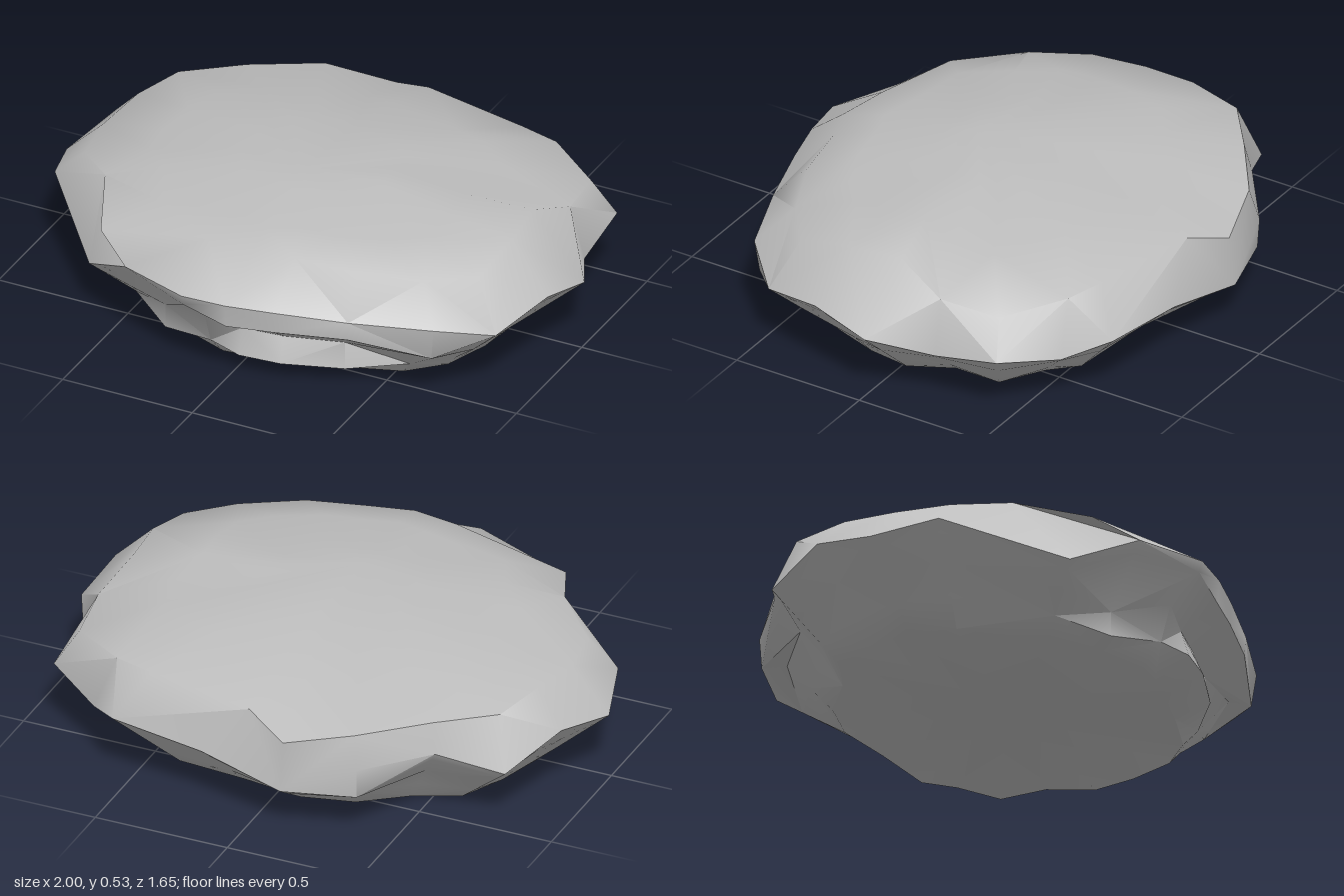
import * as THREE from 'three';
import { toCreasedNormals } from 'three/addons/utils/BufferGeometryUtils.js';

// Widest edge of the boulder, from the front round past +x: x, y, z
const belt = [
  [-0.13, 0.34, 0.825], [0.03, 0.335, 0.81], [0.2, 0.33, 0.77], [0.45, 0.32, 0.7],
  [0.73, 0.31, 0.6], [0.89, 0.25, 0.44], [0.97, 0.3, 0.2], [1, 0.25, -0.02],
  [0.89, 0.2, -0.24], [0.89, 0.25, -0.49], [0.68, 0.2, -0.62], [0.55, 0.25, -0.75],
  [0.2, 0.22, -0.78], [-0.12, 0.16, -0.825], [-0.38, 0.27, -0.76], [-0.6, 0.3, -0.59],
  [-0.82, 0.22, -0.49], [-0.93, 0.3, -0.26], [-1, 0.25, -0.02], [-0.93, 0.3, 0.21],
  [-0.62, 0.2, 0.56], [-0.4, 0.33, 0.72],
];

// Rim where the sides turn into the top
const shoulder = [
  [-0.13, 0.465, 0.62], [0.05, 0.45, 0.67], [0.2, 0.465, 0.61], [0.42, 0.45, 0.58],
  [0.64, 0.43, 0.49], [0.79, 0.42, 0.37], [0.81, 0.465, 0.16], [0.79, 0.475, -0.04],
  [0.84, 0.4, -0.23], [0.81, 0.38, -0.45], [0.6, 0.4, -0.6], [0.45, 0.4, -0.64],
  [0.04, 0.4, -0.73], [-0.12, 0.34, -0.8], [-0.36, 0.39, -0.73], [-0.58, 0.41, -0.57],
  [-0.77, 0.41, -0.42], [-0.82, 0.42, -0.21], [-0.85, 0.4, 0], [-0.82, 0.4, 0.2],
  [-0.66, 0.44, 0.36], [-0.55, 0.38, 0.61],
];

// Broken ledges and dents, by column: [how far out from base to belt, height]
const browLedge = {
  0: [0.95, 0.3], 1: [0.97, 0.25], 2: [0.98, 0.25], 3: [0.98, 0.25], 4: [0.93, 0.19], 14: [0.97, 0.16],
};
const hollow = {
  0: [0.46, 0.21], 1: [0.4, 0.17], 2: [0.42, 0.16], 3: [0.42, 0.16], 5: [0.52, 0.13], 21: [0.3, 0.12],
};
const foot = {
  0: [0.3, 0.08], 1: [0.52, 0.075], 2: [0.58, 0.07], 3: [0.5, 0.065], 4: [0.2, 0.06],
  5: [0.16, 0.05], 21: [0.3, 0.03],
};

const mix = (a, b, t) => a + (b - a) * t;

function boulderGeometry() {
  const n = belt.length;
  const base = belt.map(([x, , z]) => [x * 0.72, 0, z * 0.7]);

  // Ring between base and belt, on a straight slope except at the ledges
  const between = (ledges, slope) => belt.map(([x, y, z], j) => {
    const [t, height] = ledges[j] ?? [slope, y * slope];
    return [mix(base[j][0], x, t), height, mix(base[j][2], z, t)];
  });

  // Gentle dome over the top
  const dome = (scale, lift) => shoulder.map(([x, y, z]) =>
    [x * scale, mix(y, 0.525, lift), z * scale + 0.04]);

  const rings = [
    base, between(foot, 0.3), between(hollow, 0.62), between(browLedge, 0.88),
    belt, shoulder, dome(0.7, 0.56), dome(0.34, 0.9),
  ];
  const pos = rings.flat(2);
  pos.push(0, 0, 0, 0, 0.53, 0.15);
  const bottomCentre = rings.length * n;
  const index = [];
  for (let j = 0; j < n; j++) {
    const k = (j + 1) % n;
    for (let i = 0; i < rings.length - 1; i++) {
      const a = i * n + j, b = i * n + k, c = b + n, d = a + n;
      if ((i + j) % 2) index.push(a, b, c, a, c, d);
      else index.push(a, b, d, b, c, d);
    }
    const last = (rings.length - 1) * n;
    index.push(bottomCentre, k, j, bottomCentre + 1, last + j, last + k);
  }
  const geometry = new THREE.BufferGeometry();
  geometry.setAttribute('position', new THREE.Float32BufferAttribute(pos, 3));
  geometry.setIndex(index);
  return toCreasedNormals(geometry, 0.85);
}

export function createModel() {
  const group = new THREE.Group();
  group.name = 'flatRock';
  const stone = new THREE.MeshStandardMaterial({ color: 0xbdbdbd });
  stone.name = 'stone grey';
  const boulder = new THREE.Mesh(boulderGeometry(), stone);
  boulder.name = 'boulder';
  group.add(boulder);
  return group;
}
